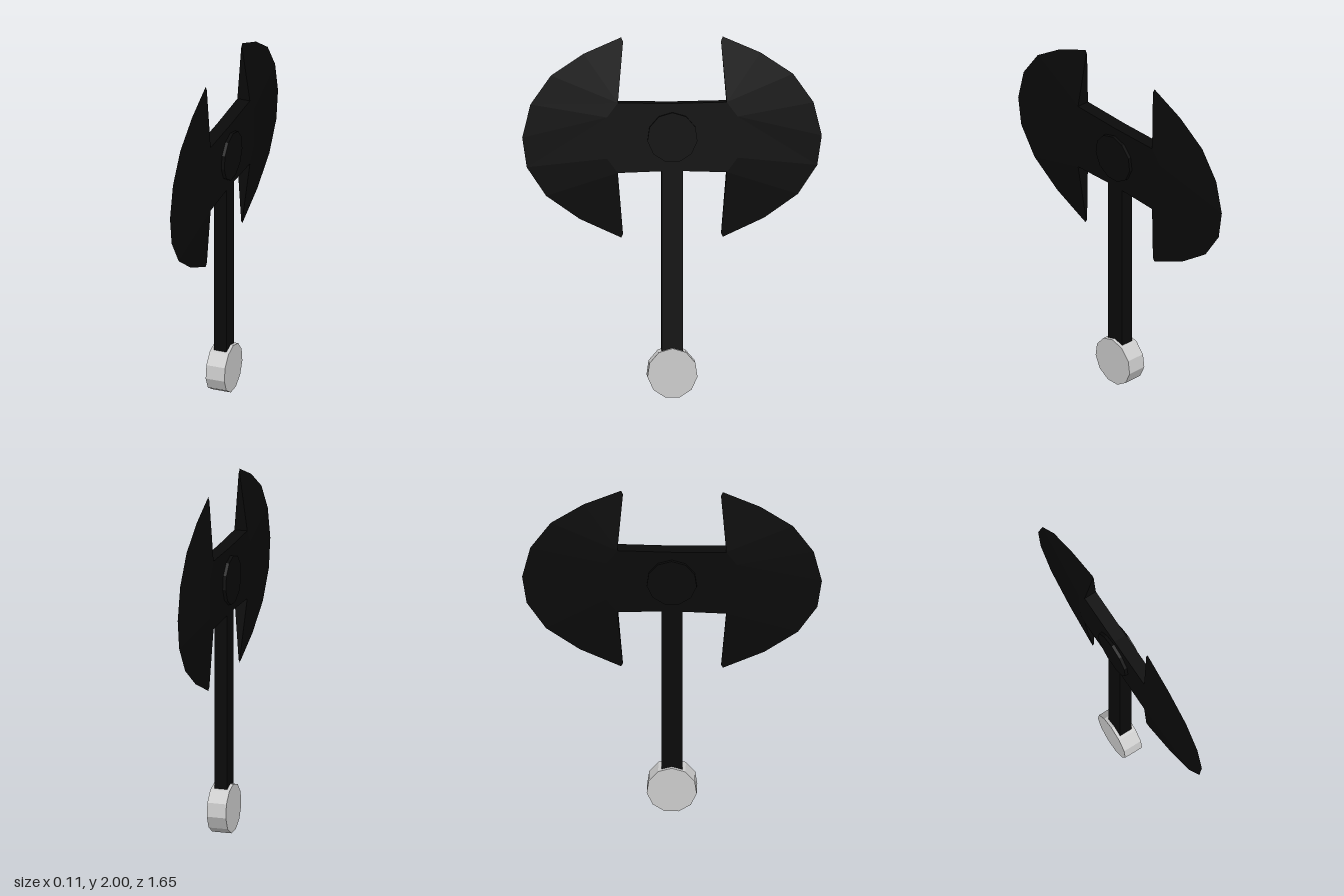
import * as THREE from 'three';

const HALF = 0.037; // half thickness of the head

const black = new THREE.MeshStandardMaterial({ color: 0x0a0a0a, flatShading: true });
const grey = new THREE.MeshStandardMaterial({ color: 0xcccccc, flatShading: true });

function part(group, name, geometry, material) {
  const mesh = new THREE.Mesh(geometry, material);
  mesh.name = name;
  group.add(mesh);
  return mesh;
}

// Eleven-sided disc lying across x, one corner pointing up
function disc(y) {
  return new THREE.CylinderGeometry(0.139, 0.139, 0.11, 11, 1, false, Math.PI / 2)
    .rotateZ(Math.PI / 2).translate(0, y, 0);
}

// Crescent wedge towards +z: thick at the neck, sharp along the outer arc
function bladeGeometry() {
  // Cutting edge from top to bottom as [z, y, half thickness]
  const edge = [
    [0.27, 1.975, 0.003], [0.28, 2.0, 0], [0.487, 1.91, 0], [0.667, 1.79, 0],
    [0.78, 1.63, 0], [0.825, 1.445, 0], [0.8, 1.28, 0], [0.693, 1.12, 0],
    [0.508, 0.99, 0], [0.28, 0.885, 0], [0.27, 0.905, 0.003],
  ];
  const top = [0.3, 1.64, HALF], bottom = [0.3, 1.25, HALF];
  const upper = [0.36, 1.56, HALF], lower = [0.36, 1.33, HALF];
  // Neck corner that each edge point is joined to
  const core = [top, top, top, top, upper, upper, lower, bottom, bottom, bottom, bottom];

  const positions = [];
  const at = ([z, y, h], side) => [h * side, y, z];
  const tri = (a, b, c) => positions.push(...a, ...b, ...c);
  const quad = (a, b, c, d) => { tri(a, b, c); tri(a, c, d); };

  // Sloping cheeks on both sides
  for (const s of [1, -1]) {
    const face = (a, b, c) => (s > 0
      ? tri(at(a, s), at(b, s), at(c, s))
      : tri(at(c, s), at(b, s), at(a, s)));
    for (let i = 0; i < edge.length - 1; i++) {
      face(core[i], edge[i], edge[i + 1]);
      if (core[i] !== core[i + 1]) face(core[i], edge[i + 1], core[i + 1]);
    }
  }

  // Inner faces of the two horns
  const n = edge.length - 1;
  quad(at(top, 1), at(top, -1), at(edge[0], -1), at(edge[0], 1));
  tri(at(edge[0], 1), at(edge[0], -1), at(edge[1], 1));
  quad(at(edge[n], 1), at(edge[n], -1), at(bottom, -1), at(bottom, 1));
  tri(at(edge[n - 1], 1), at(edge[n], -1), at(edge[n], 1));

  const geometry = new THREE.BufferGeometry();
  geometry.setAttribute('position', new THREE.Float32BufferAttribute(positions, 3));
  geometry.computeVertexNormals();
  return geometry;
}

// Flat bar joining the two blades
function neckGeometry() {
  const half = [[0, 1.635], [0.3, 1.64], [0.36, 1.56], [0.36, 1.33], [0.3, 1.25], [0, 1.26]];
  const mirrored = half.slice(1, -1).reverse().map(([z, y]) => [-z, y]);
  const shape = new THREE.Shape([...half, ...mirrored].map(([z, y]) => new THREE.Vector2(z, y)));
  return new THREE.ExtrudeGeometry(shape, { depth: HALF * 2, bevelEnabled: false })
    .translate(0, 0, -HALF).rotateY(Math.PI / 2);
}

export function createModel() {
  const axe = new THREE.Group();
  axe.name = 'doubleAxe';

  part(axe, 'handle', new THREE.BoxGeometry(0.074, 1.2, 0.116).translate(0, 0.82, 0), black);
  part(axe, 'pommel', disc(0.134), grey);
  part(axe, 'hub', disc(1.447), black);
  part(axe, 'neck', neckGeometry(), black);

  // Matching blades front and back
  const blade = bladeGeometry();
  part(axe, 'frontBlade', blade, black);
  part(axe, 'backBlade', blade, black).rotation.y = Math.PI;

  return axe;
}
